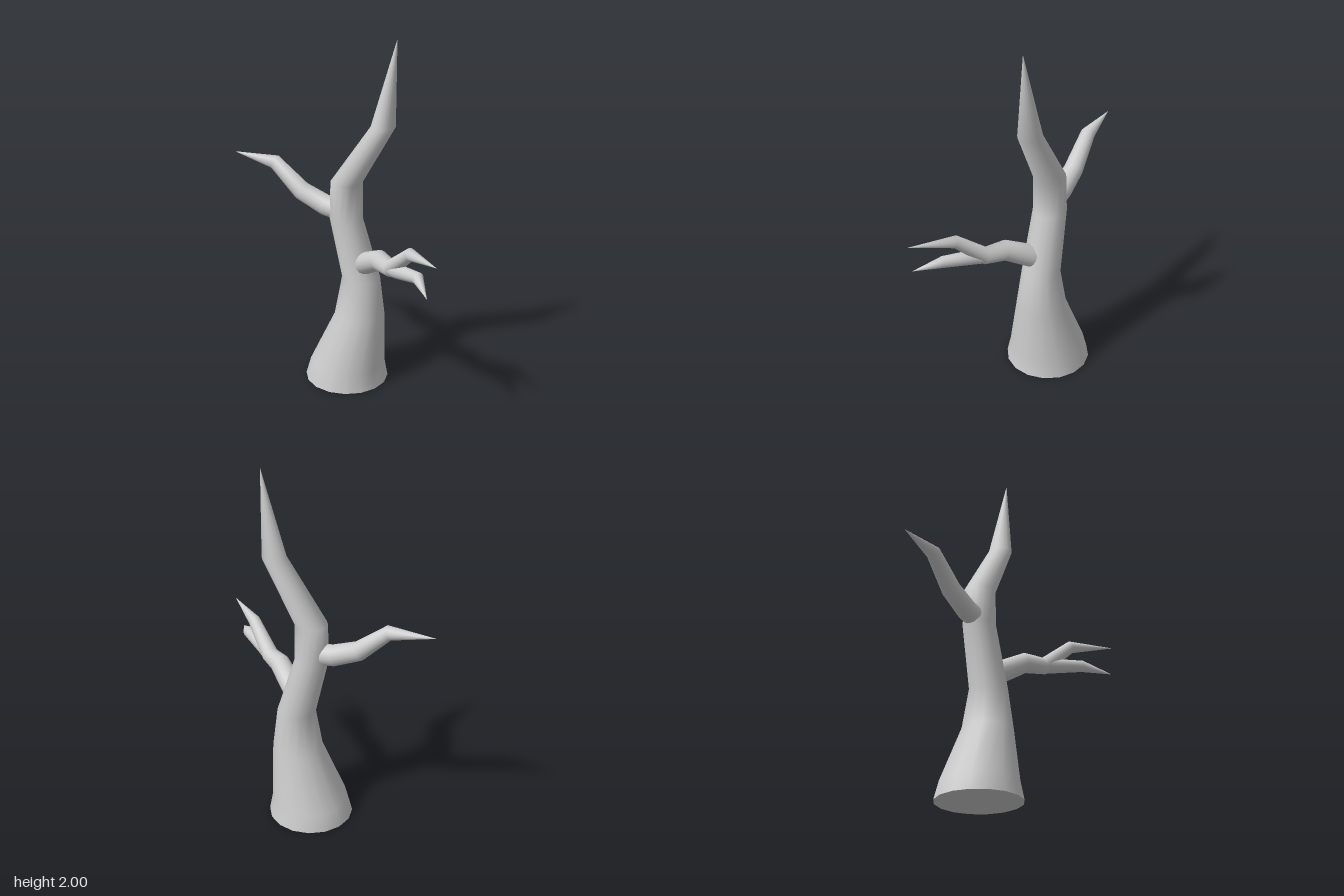
import * as THREE from 'three';

const SIDES = 16;
const bark = new THREE.MeshStandardMaterial({ color: 0xcccccc, side: THREE.DoubleSide });

// Smooth limb through stations [x, y, z, radius]; flat keeps every ring horizontal.
function limb(name, stations, flat = false) {
  const points = stations.map(([x, y, z]) => new THREE.Vector3(x, y, z));
  const last = points.length - 1;
  const positions = [];
  const index = [];
  stations.forEach(([, , , radius], i) => {
    // Ring plane bisects the two neighbouring segments
    const tangent = new THREE.Vector3();
    if (i > 0) tangent.add(points[i].clone().sub(points[i - 1]).normalize());
    if (i < last) tangent.add(points[i + 1].clone().sub(points[i]).normalize());
    tangent.normalize();
    const side = new THREE.Vector3(0, 0, 1);
    const up = new THREE.Vector3(1, 0, 0);
    if (!flat) {
      side.set(0, 1, 0).cross(tangent).normalize();
      up.crossVectors(tangent, side);
    }
    for (let j = 0; j < SIDES; j++) {
      const a = (j / SIDES) * Math.PI * 2;
      const p = points[i].clone()
        .addScaledVector(side, Math.cos(a) * radius)
        .addScaledVector(up, Math.sin(a) * radius);
      positions.push(p.x, p.y, p.z);
      if (i < last) {
        const k = (j + 1) % SIDES;
        const b = i * SIDES;
        const t = b + SIDES;
        index.push(b + j, b + k, t + k, b + j, t + k, t + j);
      }
    }
  });
  const geometry = new THREE.BufferGeometry();
  geometry.setAttribute('position', new THREE.Float32BufferAttribute(positions, 3));
  geometry.setIndex(index);
  geometry.computeVertexNormals();
  const mesh = new THREE.Mesh(geometry, bark);
  mesh.name = name;
  return mesh;
}

export function createModel() {
  const tree = new THREE.Group();
  tree.name = 'bareTree';
  const Z = -0.11;

  // Flared trunk, bending up to a sharp point
  tree.add(limb('trunk', [
    [0, 0, Z, 0.235],
    [0.005, 0.1, Z, 0.212],
    [0.078, 0.41, Z, 0.14],
    [0.085, 0.64, Z, 0.106],
    [-0.008, 0.98, Z, 0.092],
    [-0.005, 1.19, Z, 0.088],
    [0.205, 1.53, Z, 0.066],
    [0.275, 2, Z, 0.001],
  ], true));

  // Underside of the trunk
  const base = new THREE.Mesh(new THREE.CircleGeometry(0.235, SIDES), bark);
  base.name = 'trunkBase';
  base.rotation.x = Math.PI / 2;
  base.position.z = Z;
  tree.add(base);

  // Single branch on the right
  tree.add(limb('rightBranch', [
    [-0.03, 1.015, Z, 0.06],
    [-0.135, 1.03, Z, 0.058],
    [-0.28, 1.09, Z, 0.053],
    [-0.445, 1.233, Z, 0.04],
    [-0.695, 1.255, Z, 0.001],
  ]));

  // Forked branch on the left, reaching forward
  const forked = new THREE.Group();
  forked.name = 'leftBranch';
  forked.add(
    limb('upperFork', [
      [0.125, 0.745, -0.068, 0.062],
      [0.25, 0.825, 0.02, 0.056],
      [0.345, 0.825, 0.087, 0.047],
      [0.49, 0.97, 0.175, 0.034],
      [0.69, 1, 0.33, 0.001],
    ]),
    limb('lowerFork', [
      [0.335, 0.825, 0.08, 0.044],
      [0.4, 0.835, 0.125, 0.04],
      [0.55, 0.866, 0.215, 0.032],
      [0.65, 0.825, 0.34, 0.001],
    ]),
  );
  tree.add(forked);
  return tree;
}
